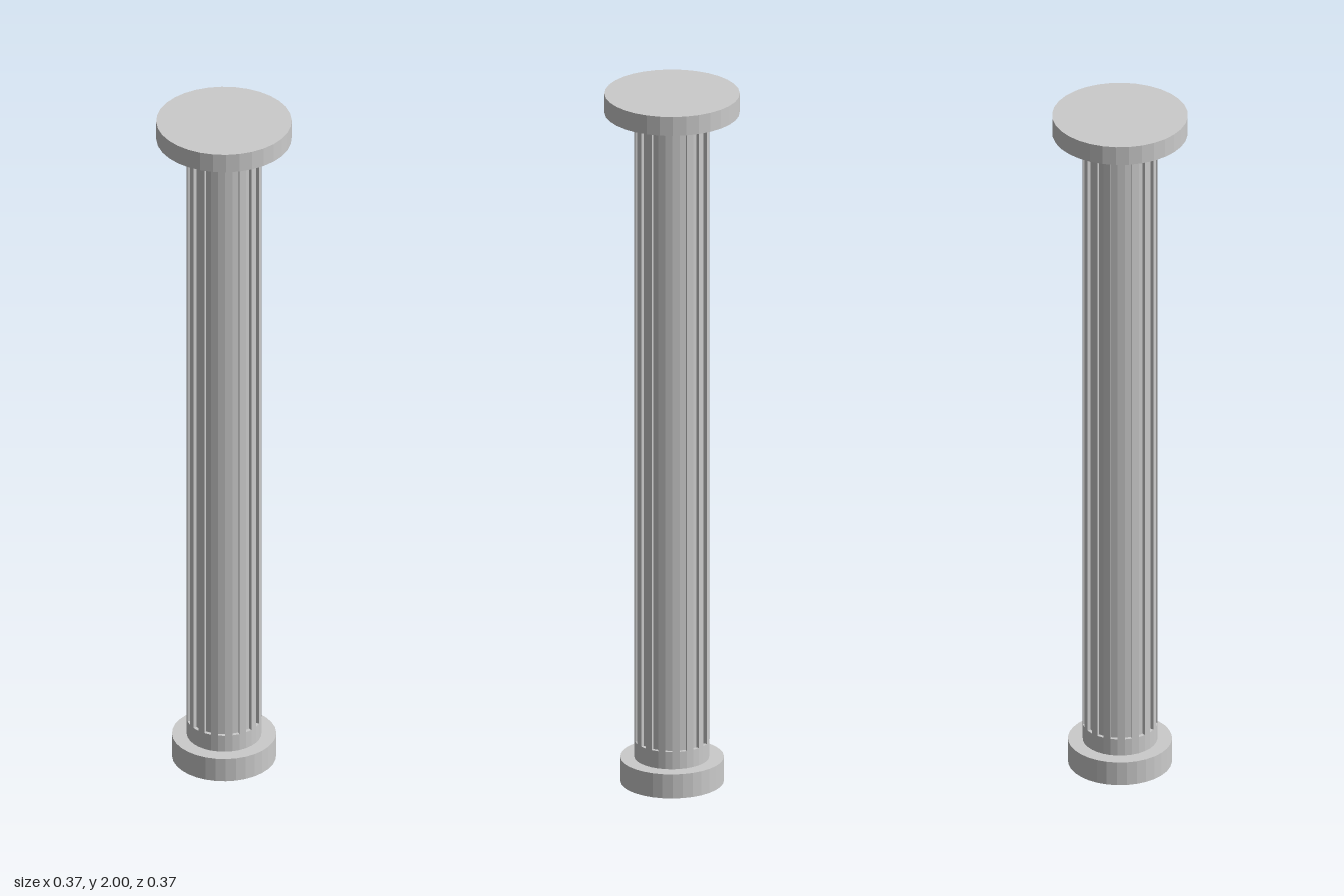
import * as THREE from 'three';

const SIDES = 32;
const SHAFT_R = 0.102;
const FLUTE_DEPTH = 0.01;

export function createModel() {
  const group = new THREE.Group();
  group.name = 'column';
  const material = new THREE.MeshStandardMaterial({ color: 0xcccccc, flatShading: true });

  const add = (name, geometry) => {
    const mesh = new THREE.Mesh(geometry, material);
    mesh.name = name;
    group.add(mesh);
  };
  const disc = (name, radius, y0, y1) => {
    const geometry = new THREE.CylinderGeometry(radius, radius, y1 - y0, SIDES);
    add(name, geometry.translate(0, (y0 + y1) / 2, 0));
  };

  // Plinth, capital and the plain collars at each end of the shaft
  disc('base', 0.142, 0, 0.07);
  disc('lowerCollar', SHAFT_R, 0.07, 0.12);
  disc('upperCollar', SHAFT_R, 1.915, 1.945);
  disc('capital', 0.185, 1.945, 2);

  // Fluted shaft: every other side is pushed straight inward
  const step = (Math.PI * 2) / SIDES;
  const points = [];
  for (let i = 0; i < SIDES; i++) {
    const inset = i % 2 ? FLUTE_DEPTH : 0;
    const mid = (i + 0.5) * step;
    for (const a of [i * step, (i + 1) * step]) {
      points.push(new THREE.Vector2(
        SHAFT_R * Math.sin(a) - inset * Math.sin(mid),
        -SHAFT_R * Math.cos(a) + inset * Math.cos(mid)
      ));
    }
  }
  const shaft = new THREE.ExtrudeGeometry(new THREE.Shape(points), {
    depth: 1.915 - 0.12,
    bevelEnabled: false
  });
  add('flutedShaft', shaft.rotateX(-Math.PI / 2).translate(0, 0.12, 0));

  return group;
}
